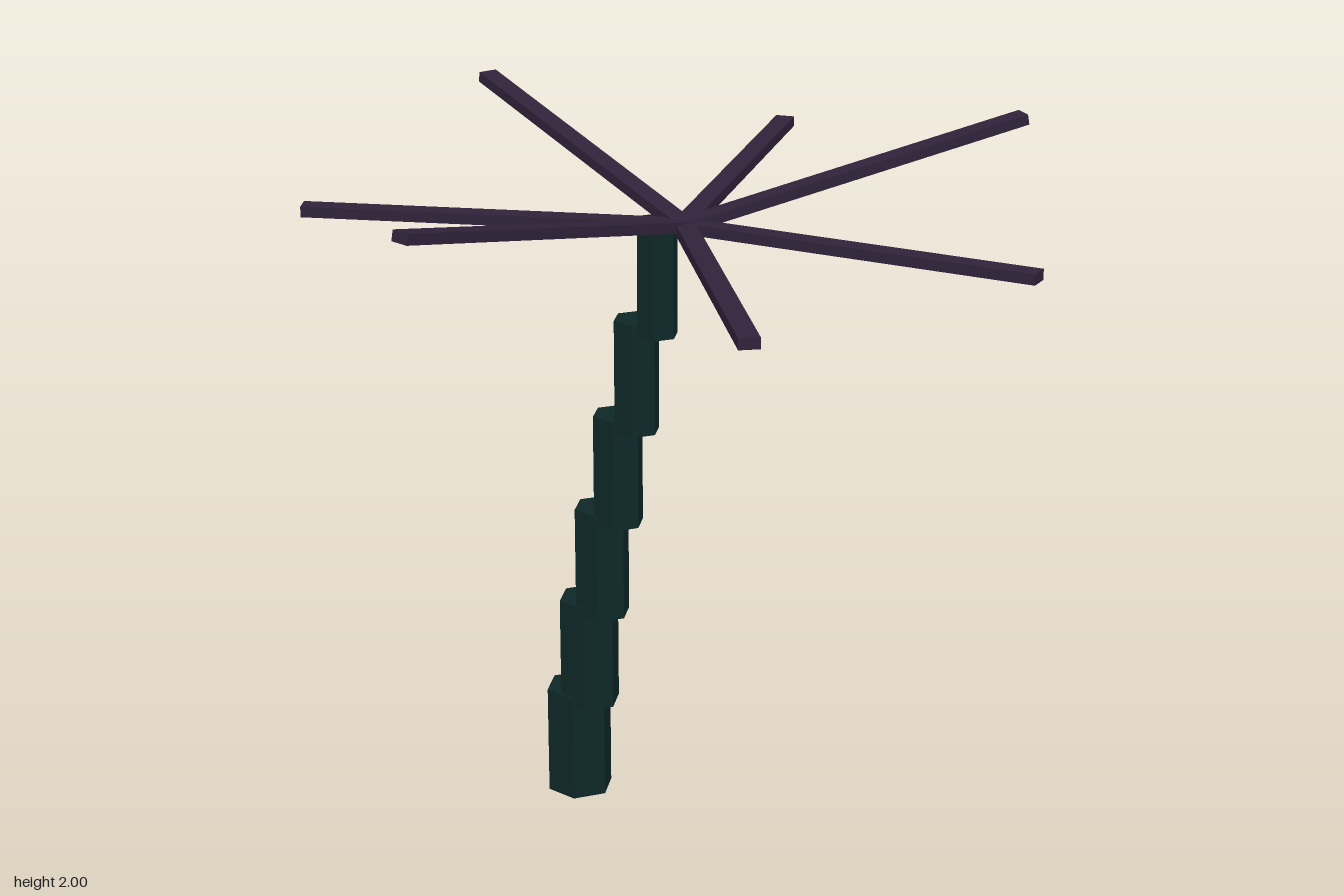
import * as THREE from 'three';

export function createModel() {
  const model = new THREE.Group();
  const bark = new THREE.MeshStandardMaterial({ name: 'dark teal bark', color: 0x0e2727, flatShading: true });
  const leaf = new THREE.MeshStandardMaterial({ name: 'dark plum leaf', color: 0x30223a, flatShading: true });

  // Leaning trunk: overlapping hexagonal segments, each [centre x, radius]
  const trunk = new THREE.Group();
  trunk.name = 'trunk';
  const segments = [
    [-0.41, 0.096], [-0.367, 0.088], [-0.315, 0.08],
    [-0.252, 0.0725], [-0.182, 0.065], [-0.107, 0.0575],
  ];
  const height = 0.324;
  segments.forEach(([x, radius], i) => {
    const geometry = new THREE.CylinderGeometry(radius, radius, height, 6);
    geometry.rotateY(Math.PI / 6);
    const segment = new THREE.Mesh(geometry, bark);
    segment.name = 'trunkSegment' + (i + 1);
    segment.position.set(x, height / 2 + i * 0.2935, -0.024);
    trunk.add(segment);
  });
  model.add(trunk);

  // Crown: seven straight fronds, alternately shallow and raised
  const crown = new THREE.Group();
  crown.name = 'crown';
  crown.position.set(-0.02, 1.79, -0.03);
  const length = 1.02;
  const frondGeometry = new THREE.BoxGeometry(length, 0.029, 0.054);
  frondGeometry.translate(length / 2, 0, 0);
  for (let i = 0; i < 7; i++) {
    const frond = new THREE.Mesh(frondGeometry, leaf);
    frond.name = 'frond' + (i + 1);
    const azimuth = THREE.MathUtils.degToRad(9.7) + (i * Math.PI * 2) / 7;
    const slope = THREE.MathUtils.degToRad(i % 2 ? 11.1 : 1.3);
    frond.rotation.set(0, azimuth, slope);
    crown.add(frond);
  }
  model.add(crown);

  return model;
}
